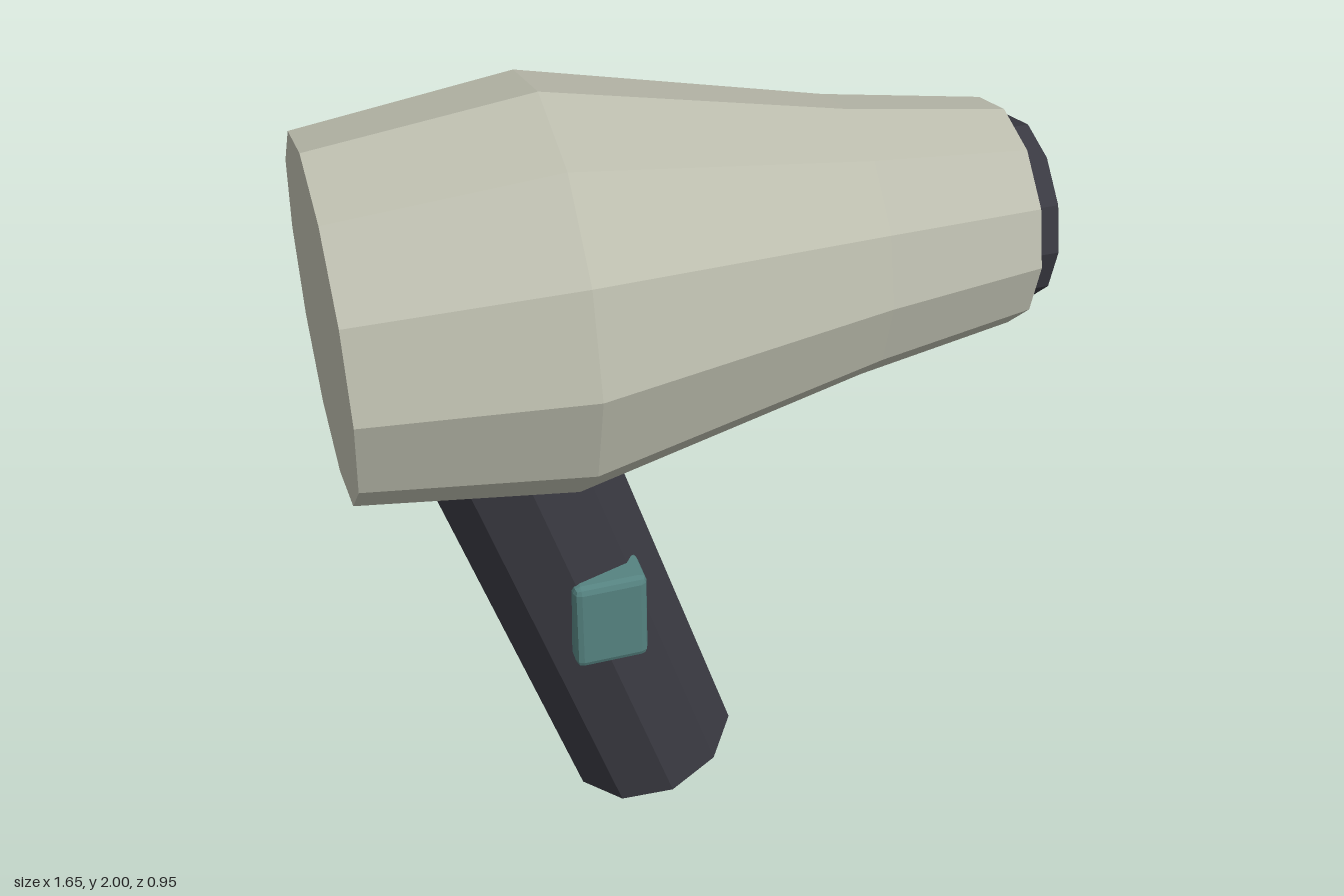
import * as THREE from 'three';
import { RoundedBoxGeometry } from 'three/addons/geometries/RoundedBoxGeometry.js';

const flat = (name, color) => {
  const m = new THREE.MeshStandardMaterial({ color, flatShading: true });
  m.name = name;
  return m;
};

export function createModel() {
  const group = new THREE.Group();
  group.name = 'hairDryer';
  const shell = flat('warm grey', 0xbbbcad);
  const dark = flat('charcoal', 0x3a3a42);
  const teal = flat('teal', 0x558280);

  const add = (name, geometry, material, x, y, z, tilt = 0) => {
    const mesh = new THREE.Mesh(geometry, material);
    mesh.name = name;
    mesh.position.set(x, y, z);
    mesh.rotation.z = tilt;
    group.add(mesh);
    return mesh;
  };

  // Barrel: closed twelve-sided profile turned along x
  const profile = [
    [0, -0.825], [0.412, -0.825], [0.475, -0.32],
    [0.325, 0.38], [0.266, 0.76], [0, 0.76],
  ].map(([r, a]) => new THREE.Vector2(r, a));
  const axisY = 1.525;
  add('barrel', new THREE.LatheGeometry(profile, 12), shell, 0, axisY, 0, -Math.PI / 2);

  // Nozzle at the narrow end
  add('nozzle', new THREE.CylinderGeometry(0.216, 0.216, 0.105, 12), dark, 0.7725, axisY, 0, -Math.PI / 2);

  // Leaning handle, its top hidden inside the barrel
  const lean = 0.3, length = 1.25;
  add('handle', new THREE.CylinderGeometry(0.222, 0.222, length, 10), dark,
    -0.1 - Math.sin(lean) * length / 2, 0.065 + Math.cos(lean) * length / 2, 0, lean);

  // Bevelled switch on the front of the handle
  add('switch', new RoundedBoxGeometry(0.18, 0.247, 0.11, 1, 0.018), teal, -0.255, 0.703, 0.193);

  return group;
}
